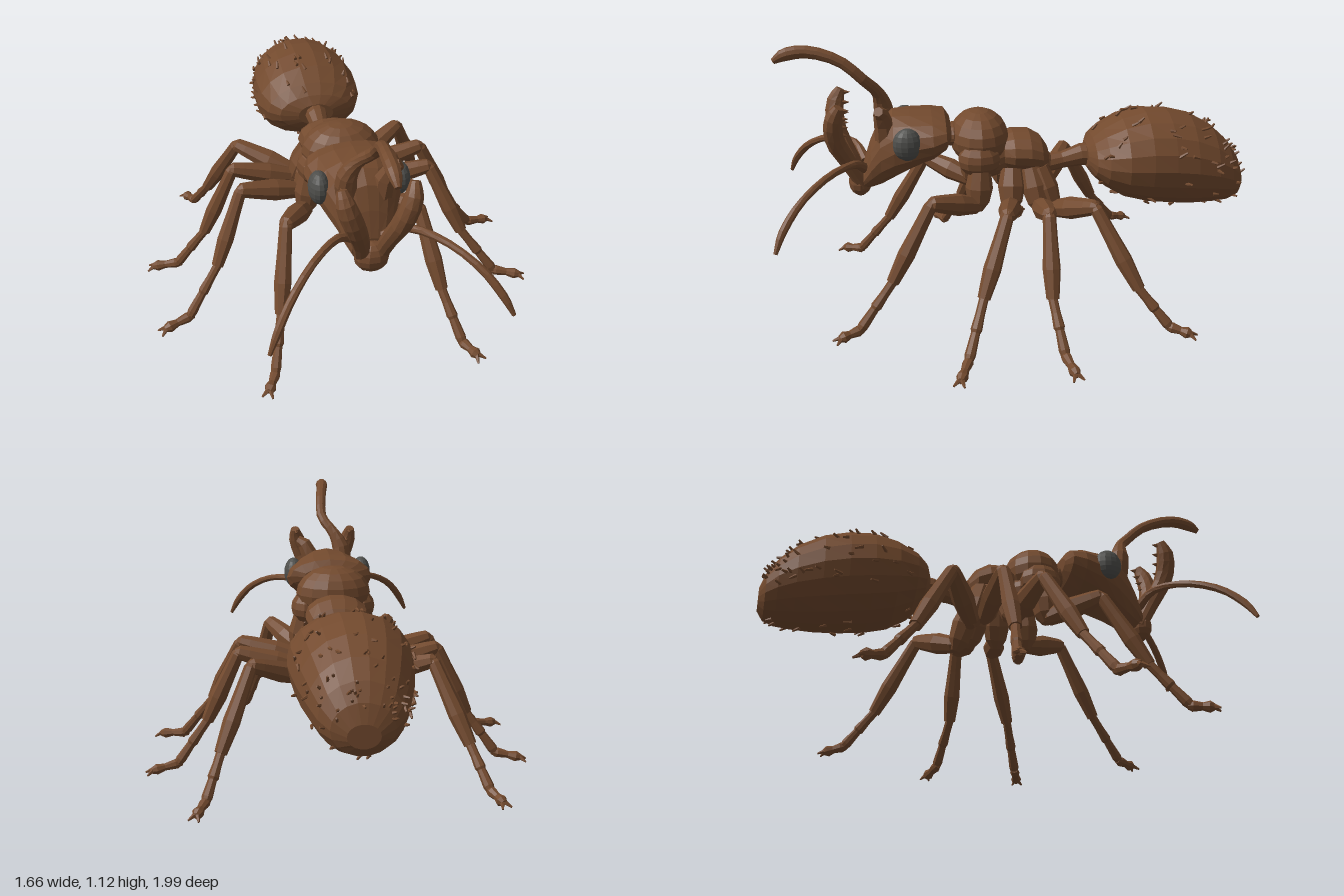
import * as THREE from 'three';
import { mergeGeometries } from 'three/addons/utils/BufferGeometryUtils.js';

const V = (x, y, z) => new THREE.Vector3(x, y, z);

// Closed skin over elliptical rings. Each ring is [x, y, z, rSide, rUp].
// "ref" gives the side direction; a fixed "axis" keeps all rings parallel.
function loft(rings, { sides = 10, ref = V(0, 0, 1), axis = null } = {}) {
  const pos = [], idx = [], n = rings.length;
  const c = rings.map(r => V(r[0], r[1], r[2]));
  rings.forEach((r, i) => {
    const t = axis ? axis.clone() : c[Math.min(i + 1, n - 1)].clone().sub(c[Math.max(i - 1, 0)]).normalize();
    const side = ref.clone().addScaledVector(t, -t.dot(ref)).normalize();
    const up = t.clone().cross(side);
    for (let j = 0; j < sides; j++) {
      const a = (j / sides) * Math.PI * 2;
      const p = c[i].clone().addScaledVector(side, Math.cos(a) * r[3])
        .addScaledVector(up, Math.sin(a) * (r[4] ?? r[3]));
      pos.push(p.x, p.y, p.z);
    }
  });
  pos.push(...c[0].toArray(), ...c[n - 1].toArray());
  for (let j = 0; j < sides; j++) {
    const k = (j + 1) % sides, e = (n - 1) * sides;
    for (let i = 0; i < n - 1; i++) {
      const a = i * sides + j, b = i * sides + k;
      idx.push(a, b, b + sides, a, b + sides, a + sides);
    }
    idx.push(n * sides, k, j, n * sides + 1, e + j, e + k);
  }
  const g = new THREE.BufferGeometry();
  g.setAttribute('position', new THREE.Float32BufferAttribute(pos, 3));
  g.setIndex(idx);
  g.computeVertexNormals();
  return g;
}

// Smooth the path of a few rings into more rings
function smooth(rings, count) {
  const a = new THREE.CatmullRomCurve3(rings.map(r => V(r[0], r[1], r[2])));
  const b = new THREE.CatmullRomCurve3(rings.map((r, i) => V(r[3], r[4] ?? r[3], i)));
  return Array.from({ length: count + 1 }, (_, i) => {
    const p = a.getPoint(i / count), q = b.getPoint(i / count);
    return [p.x, p.y, p.z, q.x, q.y];
  });
}

// Abdomen rings from front to back: [z, bottom, top, half width]
const ABDOMEN = [
  [-0.30, 0.57, 0.67, 0.08], [-0.325, 0.535, 0.705, 0.16], [-0.37, 0.49, 0.745, 0.205],
  [-0.45, 0.44, 0.79, 0.235], [-0.55, 0.41, 0.815, 0.24], [-0.65, 0.395, 0.81, 0.23],
  [-0.75, 0.385, 0.785, 0.213], [-0.85, 0.385, 0.73, 0.185], [-0.92, 0.39, 0.665, 0.155],
  [-0.965, 0.405, 0.6, 0.115], [-0.99, 0.44, 0.53, 0.06],
].map(([z, b, t, w]) => [0, (b + t) / 2, z, w, (t - b) / 2]);

// Legs: coxa top, coxa bottom, knee, tibia end, ankle, toe
const LEGS = {
  front: [[0.13, 0.62, 0.17], [0.15, 0.47, 0.18], [0.275, 0.54, 0.38], [0.335, 0.23, 0.55], [0.39, 0.05, 0.69], [0.43, 0.04, 0.77]],
  middle: [[0.08, 0.6, 0.03], [0.14, 0.46, 0.04], [0.41, 0.53, 0.09], [0.54, 0.24, 0.2], [0.68, 0.05, 0.275], [0.79, 0.035, 0.315]],
  third: [[0.08, 0.6, -0.05], [0.14, 0.45, -0.08], [0.42, 0.53, -0.075], [0.56, 0.23, -0.07], [0.69, 0.05, -0.1], [0.8, 0.03, -0.125]],
  hind: [[0.08, 0.6, -0.08], [0.13, 0.43, -0.135], [0.37, 0.53, -0.27], [0.5, 0.22, -0.43], [0.56, 0.07, -0.55], [0.595, 0.05, -0.63]],
};

export function createModel() {
  const group = new THREE.Group();
  const brown = new THREE.MeshStandardMaterial({ color: 0x734a2e, flatShading: true });
  brown.name = 'brown shell';
  const grey = new THREE.MeshStandardMaterial({ color: 0x4e4e4b, flatShading: true });
  grey.name = 'grey eye';

  const add = (name, geo, parent = group, mat = brown) => {
    const m = new THREE.Mesh(geo, mat);
    m.name = name;
    parent.add(m);
    return m;
  };
  const ball = (name, x, y, z, rx, ry, rz, mat = brown, w = 14, h = 10) => {
    const m = add(name, new THREE.SphereGeometry(1, w, h), group, mat);
    m.position.set(x, y, z);
    m.scale.set(rx, ry, rz);
    return m;
  };
  const X = V(1, 0, 0);

  // Abdomen, waist and thorax
  add('abdomen', loft(ABDOMEN, { sides: 18, ref: X, axis: V(0, 0, -1) }));
  add('waist', loft([[0, 0.62, -0.08, 0.06], [0, 0.59, -0.14, 0.042], [0, 0.6, -0.2, 0.036],
    [0, 0.62, -0.28, 0.048], [0, 0.62, -0.33, 0.05]], { ref: X }));
  add('rearThorax', loft([[0, 0.66, 0.06, 0.1, 0.07], [0, 0.665, 0.02, 0.132, 0.082], [0, 0.66, -0.05, 0.135, 0.085],
    [0, 0.645, -0.1, 0.12, 0.07], [0, 0.63, -0.13, 0.07, 0.04]], { sides: 14, ref: X, axis: V(0, 0, -1) }));
  ball('frontThorax', 0, 0.725, 0.16, 0.163, 0.118, 0.125);
  ball('lowerThorax', 0, 0.63, 0.13, 0.12, 0.08, 0.11);
  ball('neck', 0, 0.74, 0.27, 0.07, 0.05, 0.05);

  // Head, face and mouth
  add('head', loft([[0, 0.77, 0.283, 0.12, 0.04], [0, 0.768, 0.305, 0.18, 0.075], [0, 0.752, 0.36, 0.195, 0.102],
    [0, 0.733, 0.45, 0.178, 0.124], [0, 0.712, 0.52, 0.15, 0.143], [0, 0.675, 0.575, 0.12, 0.138],
    [0, 0.625, 0.615, 0.1, 0.1], [0, 0.57, 0.65, 0.075, 0.05]], { sides: 16, ref: X, axis: V(0, 0, 1) }));
  ball('mouth', 0, 0.55, 0.665, 0.07, 0.065, 0.05, brown, 10, 8);

  // Long raised feeler and the short stub beside it
  add('raisedFeeler', loft(smooth([[-0.06, 0.72, 0.54, 0.045], [-0.075, 0.84, 0.555, 0.042], [-0.04, 0.92, 0.575, 0.026],
    [0.01, 0.985, 0.625, 0.023], [0.008, 1.07, 0.72, 0.023], [-0.008, 1.11, 0.85, 0.026],
    [-0.01, 1.1, 0.94, 0.026], [-0.01, 1.075, 0.985, 0.012]], 18), { ref: X }));
  add('feelerStub', loft([[0.06, 0.72, 0.55, 0.045], [0.075, 0.82, 0.555, 0.04], [0.1, 0.87, 0.565, 0.032],
    [0.13, 0.89, 0.575, 0.02]], { sides: 7, ref: V(0, 0, 1) }));

  for (const s of [-1, 1]) {
    const side = s > 0 ? 'left' : 'right';
    const mir = rings => rings.map(([x, ...r]) => [x * s, ...r]);

    ball(side + 'Eye', s * 0.158, 0.755, 0.465, 0.043, 0.068, 0.06, grey);
    ball(side + 'Shoulder', s * 0.11, 0.66, 0.17, 0.075, 0.075, 0.09, brown, 10, 8);

    // Upturned jaw with teeth on its inner edge
    add(side + 'Jaw', loft(smooth(mir([[0.035, 0.54, 0.65, 0.03], [0.055, 0.65, 0.705, 0.034], [0.09, 0.76, 0.755, 0.04],
      [0.125, 0.86, 0.755, 0.038], [0.135, 0.915, 0.73, 0.02]]), 9), { ref: X }));
    for (let i = 0; i < 4; i++) {
      const tooth = add(side + 'JawTooth', new THREE.ConeGeometry(0.014, 0.035, 5));
      tooth.position.set(s * (0.085 + i * 0.015), 0.78 + i * 0.04, 0.72 - i * 0.004);
      tooth.rotation.x = -Math.PI / 2;
    }

    // Thin drooping palp
    add(side + 'Palp', loft(smooth(mir([[0.05, 0.62, 0.64, 0.022], [0.13, 0.67, 0.68, 0.017], [0.24, 0.665, 0.78, 0.015],
      [0.35, 0.6, 0.89, 0.016], [0.42, 0.51, 0.96, 0.016], [0.455, 0.44, 0.988, 0.008]]), 14), { sides: 8 }));

    // Legs
    for (const [key, pts] of Object.entries(LEGS)) {
      const leg = new THREE.Group();
      leg.name = `${side}${key[0].toUpperCase()}${key.slice(1)}Leg`;
      group.add(leg);
      const [top, hip, knee, shin, ankle, toe] = pts.map(p => V(p[0] * s, p[1], p[2]));
      // Straight segment with stations [fraction, radius]
      const seg = (name, a, b, stations, sides = 8) => add(name, loft(stations.map(([f, r]) => {
        const p = a.clone().lerp(b, f);
        return [p.x, p.y, p.z, r];
      }), { sides }), leg);
      seg('coxa', top, hip, [[0, 0.045], [0.5, 0.058], [0.9, 0.046], [1.15, 0.02]]);
      seg('femur', hip, knee, [[-0.06, 0.02], [0.05, 0.036], [0.45, 0.047], [0.85, 0.036], [1, 0.03], [1.06, 0.012]]);
      seg('tibia', knee, shin, [[-0.05, 0.014], [0.03, 0.027], [0.3, 0.03], [0.65, 0.036], [1, 0.026]]);
      seg('tarsus', shin, ankle, [[-0.05, 0.019], [0.25, 0.019], [0.5, 0.023], [0.55, 0.018], [0.9, 0.022], [1.08, 0.014]]);
      seg('foot', ankle, toe, [[-0.15, 0.015], [0.1, 0.022], [0.5, 0.016], [0.8, 0.024], [1, 0.014]]);
      // Pair of claws
      const dir = toe.clone().sub(ankle).setY(0).normalize();
      const across = V(-dir.z, 0, dir.x);
      for (const k of [-1, 1]) {
        const tip = toe.clone().addScaledVector(dir, 0.022).addScaledVector(across, 0.022 * k);
        tip.y -= 0.012;
        seg('claw', toe.clone().addScaledVector(across, 0.008 * k), tip, [[-0.3, 0.011], [1, 0.004]], 5);
      }
    }
  }

  // Short bristles scattered over the abdomen
  let seed = 7;
  const rnd = () => (seed = (seed * 16807) % 2147483647) / 2147483647;
  const bristles = [];
  for (let i = 0; i < 100; i++) {
    const f = 1.5 + Math.pow(rnd(), 0.8) * 7.8, k = Math.floor(f);
    const r = ABDOMEN[k].map((v, j) => v + (ABDOMEN[k + 1][j] - v) * (f - k));
    const a = rnd() < 0.75 ? Math.PI * (0.05 + 1.1 * rnd()) : rnd() * Math.PI * 2;
    const out = V(Math.cos(a) / r[3], Math.sin(a) / r[4], 0).normalize();
    const lean = out.clone().multiplyScalar(0.45).add(V(rnd() - 0.5, rnd() - 0.5, -0.7)).normalize();
    const g = new THREE.CylinderGeometry(0.004, 0.008, 0.022 + 0.018 * rnd(), 5);
    g.applyQuaternion(new THREE.Quaternion().setFromUnitVectors(V(0, 1, 0), lean));
    g.translate(Math.cos(a) * r[3] + out.x * 0.005, r[1] + Math.sin(a) * r[4] + out.y * 0.005, r[2]);
    bristles.push(g);
  }
  add('bristles', mergeGeometries(bristles));

  return group;
}
